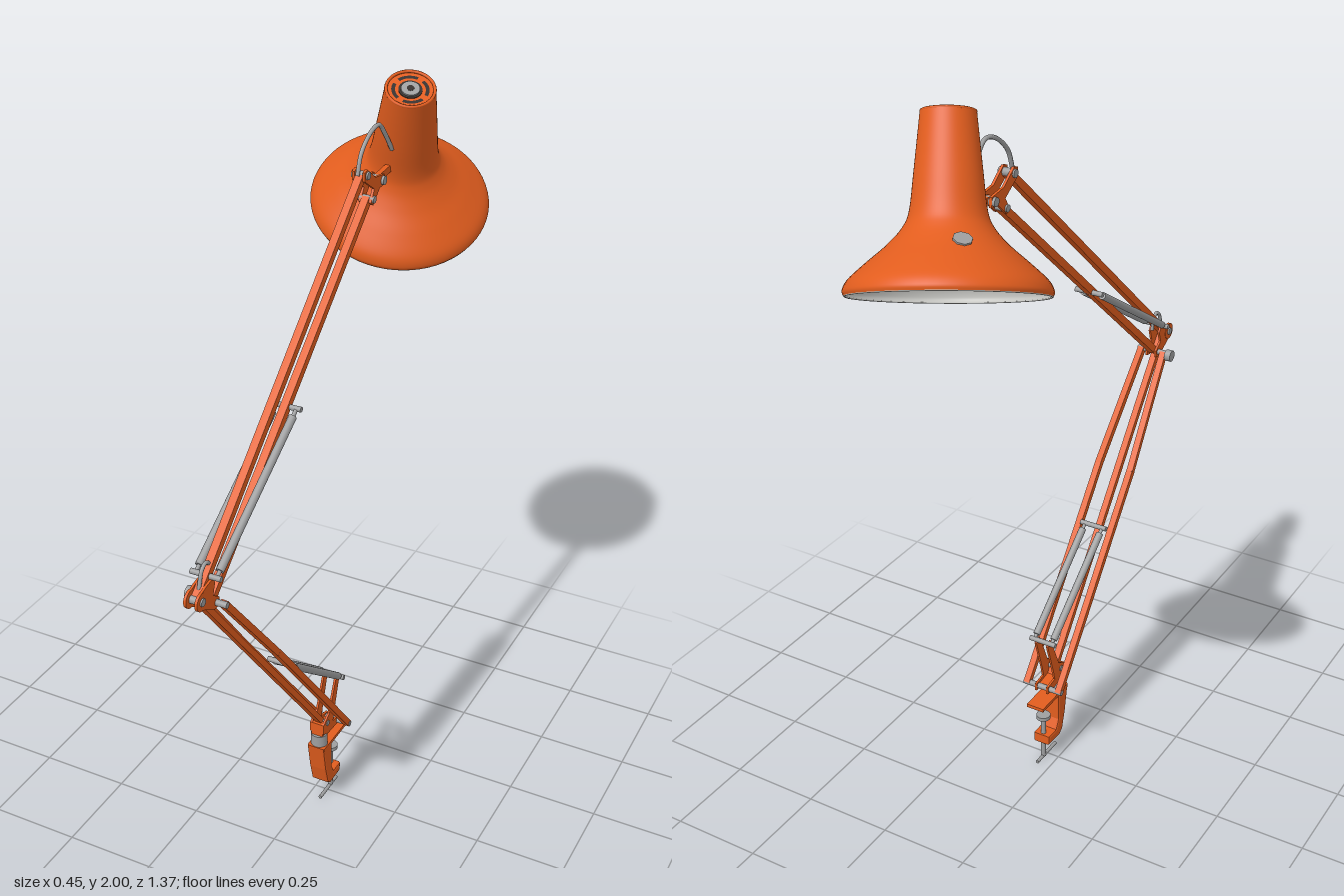
import * as THREE from 'three';

const paint = (name, color) => {
  const m = new THREE.MeshStandardMaterial({ color });
  m.name = name;
  return m;
};
const V = (x, y, z) => new THREE.Vector3(x, y, z);
const CX = 0.037; // centre plane of the arm

export function createModel() {
  const lamp = new THREE.Group();
  lamp.name = 'deskLamp';
  const orange = paint('orangeEnamel', 0xe25d1e);
  const metal = paint('steel', 0x9e9fa0);
  const lining = paint('shadeLining', 0xc4c4c0);
  const glass = paint('bulbGlass', 0xd4d4d0);
  const dark = paint('darkGap', 0x35302e);

  const add = (name, geo, mat, parent = lamp) => {
    const m = new THREE.Mesh(geo, mat);
    m.name = name;
    parent.add(m);
    return m;
  };
  // rectangular bar between two points
  const bar = (name, a, b, w, h = w) => {
    const m = add(name, new THREE.BoxGeometry(w, h, a.distanceTo(b)), orange);
    m.position.copy(a).add(b).multiplyScalar(0.5);
    m.lookAt(b);
  };
  // round rod between two points
  const rod = (name, a, b, r, mat = metal, sides = 16) => {
    const m = add(name, new THREE.CylinderGeometry(r, r, a.distanceTo(b), sides), mat);
    m.position.copy(a).add(b).multiplyScalar(0.5);
    m.quaternion.setFromUnitVectors(V(0, 1, 0), b.clone().sub(a).normalize());
  };
  // cross pin along x, centred on the arm
  const pin = (name, y, z, half, r = 0.008) =>
    rod(name, V(CX - half, y, z), V(CX + half, y, z), r);
  // flat plate drawn as [z, y] points and given a thickness along x
  const plate = (name, pts, x, thick, bevel = 0) => {
    const g = new THREE.ExtrudeGeometry(
      new THREE.Shape(pts.map(([z, y]) => new THREE.Vector2(z, y))),
      { depth: thick - 2 * bevel, bevelEnabled: bevel > 0, bevelSize: bevel, bevelThickness: bevel,
        bevelOffset: -bevel, bevelSegments: 2 });
    g.rotateY(-Math.PI / 2).translate(x + thick / 2 - bevel, 0, 0);
    add(name, g, orange);
  };
  const wire = (name, pts, r) => add(name, new THREE.TubeGeometry(
    new THREE.CatmullRomCurve3(pts), 32, r, 8), metal);

  // ---- table clamp
  plate('clampJaw', [[0.07, 0.213], [-0.066, 0.213], [-0.066, 0.203], [0.07, 0.203]], CX, 0.052);
  plate('clampFrame', [[0.075, 0.215], [0.022, 0.213], [0.022, 0.12], [0.008, 0.092],
    [-0.032, 0.092], [-0.032, 0.064], [0.03, 0.062], [0.045, 0.075], [0.06, 0.13]], CX, 0.052, 0.006);
  rod('clampScrew', V(CX, 0.01, -0.02), V(CX, 0.15, -0.02), 0.007);
  rod('clampPad', V(CX, 0.145, -0.02), V(CX, 0.156, -0.02), 0.02);
  rod('clampHandle', V(CX, 0.01, -0.055), V(CX, 0.01, 0.045), 0.005);
  rod('swivelCollar', V(CX, 0.212, 0.05), V(CX, 0.25, 0.05), 0.023, metal, 24);

  // ---- base bracket
  for (const s of [-1, 1]) {
    plate('baseBracket', [[0.065, 0.29], [0.03, 0.31], [-0.012, 0.412], [-0.03, 0.4],
      [0.0, 0.3], [0.008, 0.268], [-0.03, 0.262], [-0.03, 0.24], [0.04, 0.246], [0.065, 0.26]],
    CX + s * 0.018, 0.006);
  }
  plate('baseBridge', [[0.065, 0.25], [0.065, 0.29], [0.045, 0.29], [0.03, 0.262],
    [-0.02, 0.255], [-0.02, 0.244]], CX, 0.034);
  pin('basePin', 0.252, -0.02, 0.06);
  pin('baseRearPin', 0.285, 0.042, 0.024);

  // ---- lower arm: one straight centre bar and two bent outer bars
  bar('lowerCentreBar', V(CX, 0.285, 0.043), V(CX, 1.073, 0.655), 0.018, 0.016);
  for (const s of [-1, 1]) {
    const foot = V(CX + s * 0.05, 0.25, -0.022);
    const bend = V(CX + s * 0.05, 0.76, 0.379);
    const top = V(CX + s * 0.034, 1.035, 0.596);
    bar('lowerOuterBar', foot, bend, 0.018, 0.017);
    bar('lowerOuterBar', bend, top, 0.018, 0.017);
  }

  // ---- elbow
  for (const s of [-1, 1]) {
    plate('elbowPlate', [[0.665, 1.092], [0.64, 1.1], [0.61, 1.105], [0.6, 1.09],
      [0.61, 1.06], [0.583, 1.04], [0.585, 1.02], [0.605, 1.018], [0.66, 1.05]],
    CX + s * 0.014, 0.006);
    rod('elbowCheek', V(CX + s * 0.011, 1.072, 0.66), V(CX + s * 0.018, 1.072, 0.66), 0.023, orange, 24);
  }
  pin('elbowHubPin', 1.072, 0.66, 0.022, 0.01);
  pin('elbowPin', 1.033, 0.597, 0.046);
  rod('elbowKnob', V(CX - 0.064, 1.033, 0.59), V(CX - 0.046, 1.033, 0.59), 0.016);
  wire('elbowWire', [V(CX, 1.09, 0.643), V(CX, 1.133, 0.628), V(CX, 1.143, 0.61),
    V(CX, 1.13, 0.594), V(CX, 1.1, 0.588)], 0.005);

  // ---- upper arm: two parallel bars
  bar('upperTopBar', V(CX, 1.072, 0.655), V(CX, 1.795, -0.165), 0.02);
  bar('upperBottomBar', V(CX, 1.035, 0.597), V(CX, 1.725, -0.2), 0.02);

  // ---- paired tension springs between cross pins
  const springs = (label, low, high) => {
    for (const s of [-1, 1]) {
      const a = V(CX + s * 0.027, ...low), b = V(CX + s * 0.027, ...high);
      rod(label + 'SpringHook', a, b, 0.005);
      rod(label + 'Spring', a.clone().lerp(b, 0.04), a.clone().lerp(b, 0.95), 0.01);
    }
    pin(label + 'SpringLowPin', ...low, 0.04, 0.007);
    pin(label + 'SpringHighPin', ...high, 0.04, 0.007);
  };
  springs('lower', [0.405, -0.02], [0.63, 0.26]);
  springs('upper', [1.11, 0.61], [1.355, 0.222]);

  // ---- head bracket joining arm and shade
  for (const s of [-1, 1]) {
    plate('headBracket', [[-0.15, 1.808], [-0.165, 1.812], [-0.21, 1.778], [-0.262, 1.77],
      [-0.264, 1.745], [-0.235, 1.742], [-0.2, 1.71], [-0.187, 1.72], [-0.205, 1.75], [-0.152, 1.785]],
    CX + s * 0.014, 0.007);
  }
  pin('headTopPin', 1.797, -0.165, 0.022, 0.01);
  pin('headLowPin', 1.725, -0.2, 0.022, 0.009);
  pin('headTiltPin', 1.757, -0.252, 0.024, 0.011);
  bar('shadeLug', V(CX, 1.757, -0.24), V(CX, 1.765, -0.345), 0.014, 0.018);
  wire('headWire', [V(CX, 1.8, -0.145), V(CX, 1.85, -0.165), V(CX + 0.004, 1.89, -0.21),
    V(CX + 0.008, 1.897, -0.245), V(CX + 0.012, 1.87, -0.268), V(CX + 0.018, 1.82, -0.3)], 0.0055);

  // ---- shade, turned about its own tilted axis
  const rim = V(0, 1.615, -0.475);
  const axis = V(0.093, 0.358, 0.16).normalize();
  const shade = new THREE.Group();
  shade.name = 'shade';
  shade.position.copy(rim);
  shade.quaternion.setFromUnitVectors(V(0, 1, 0), axis);
  lamp.add(shade);
  const curve = new THREE.SplineCurve([[0.228, 0], [0.231, 0.012], [0.218, 0.036], [0.178, 0.073],
    [0.135, 0.11], [0.102, 0.147], [0.086, 0.185], [0.076, 0.27], [0.062, 0.402]]
    .map(([r, t]) => new THREE.Vector2(r, t)));
  const profile = curve.getPoints(48);
  add('shadeShell', new THREE.LatheGeometry(profile, 64), orange, shade);
  const inner = profile.map(p => new THREE.Vector2(p.x - 0.004, p.y)).reverse();
  add('shadeLining', new THREE.LatheGeometry(inner, 64), lining, shade);
  const lip = add('shadeLip', new THREE.TorusGeometry(0.226, 0.0022, 8, 64), lining, shade);
  lip.rotation.x = Math.PI / 2;

  // ---- vented cap at the top of the shade
  const disc = (name, r, t, h, mat) => {
    add(name, new THREE.CylinderGeometry(r, r, h, 32), mat, shade).position.y = t;
  };
  const capRim = add('capRim', new THREE.TorusGeometry(0.059, 0.004, 8, 48), orange, shade);
  capRim.rotation.x = Math.PI / 2;
  capRim.position.y = 0.401;
  disc('cap', 0.058, 0.392, 0.012, orange);
  for (let i = 0; i < 4; i++) {
    const slot = add('capVent', new THREE.RingGeometry(0.037, 0.046, 12, 1, i * Math.PI / 2, 1.2), dark, shade);
    slot.rotation.x = -Math.PI / 2;
    slot.position.y = 0.399;
  }
  disc('capRecess', 0.029, 0.396, 0.008, dark);
  disc('capBoss', 0.023, 0.399, 0.01, metal);
  disc('capHole', 0.009, 0.401, 0.008, dark);

  // ---- bulb and holder
  add('bulb', new THREE.SphereGeometry(0.066, 32, 24), glass, shade).position.y = 0.108;
  add('bulbHolder', new THREE.CylinderGeometry(0.03, 0.036, 0.23, 24), metal, shade).position.y = 0.27;

  // ---- switch plate on the flank of the shade, with its nut inside
  const out = V(-0.0926, 0.06, -0.082);
  out.addScaledVector(axis, -out.dot(axis)).normalize();
  const face = out.clone().multiplyScalar(0.68).addScaledVector(axis, 0.73).normalize();
  const spot = rim.clone().addScaledVector(axis, 0.112).addScaledVector(out, 0.133);
  const along = d => spot.clone().addScaledVector(face, d);
  rod('switchPlate', along(-0.002), along(0.004), 0.022, metal, 8);
  rod('switchNut', along(-0.014), along(-0.003), 0.013, orange, 12);

  return lamp;
}
